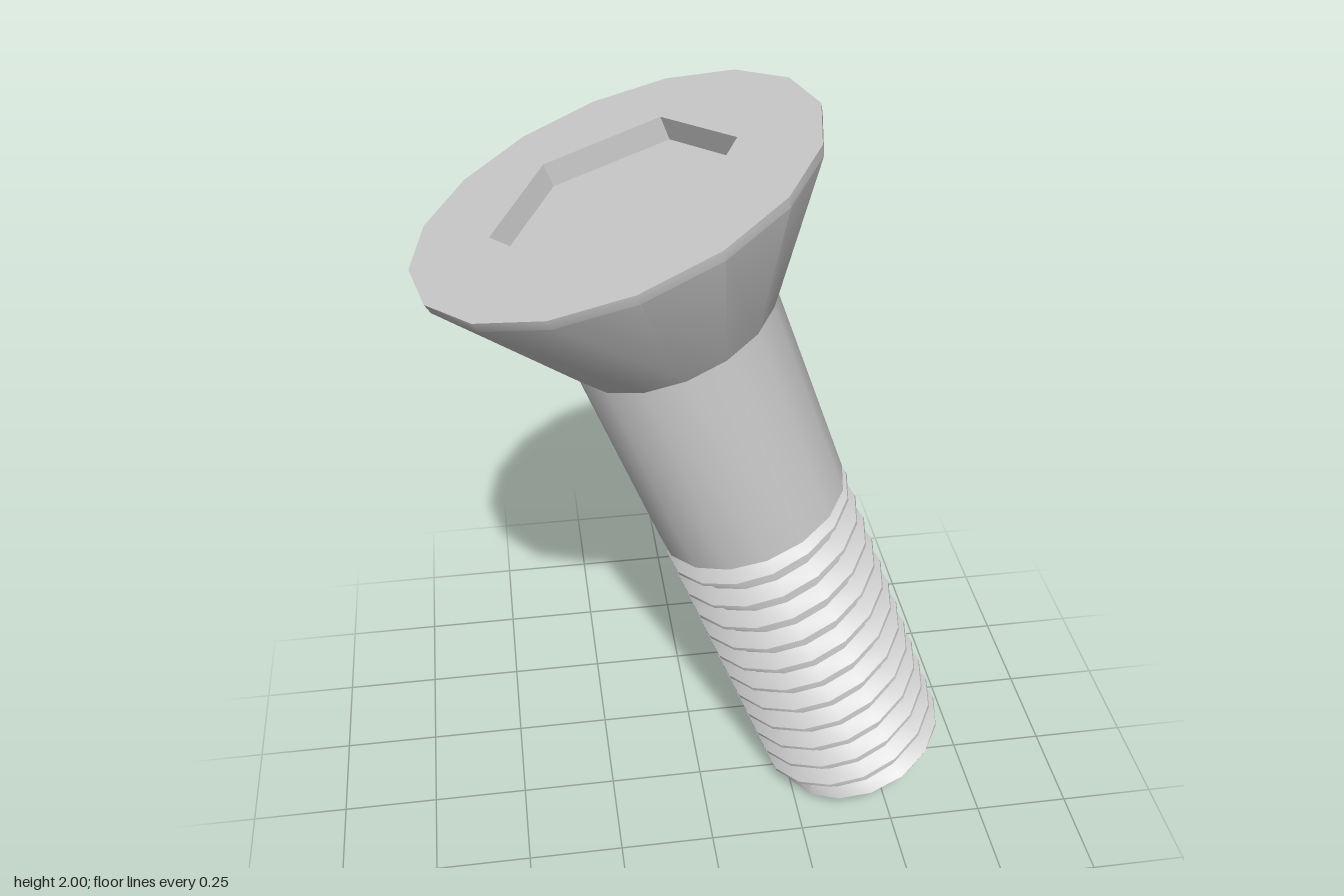
import * as THREE from 'three';
import { toCreasedNormals } from 'three/addons/utils/BufferGeometryUtils.js';

const SIDES = 16;
const HEAD_R = 0.486, HEX_R = 0.292, HEX_DEPTH = 0.06;
const NECK = 0.372, THREAD_TOP = 0.935, END = 1.878; // depths below the head's top face
const CREST = 0.25, ROOT = 0.216, TIP_R = 0.198, PITCH = 0.0785;

// Corners of a regular polygon, the first one on +x
function polygon(sides, radius) {
  return Array.from({ length: sides }, (_, i) => {
    const a = (i / sides) * Math.PI * 2;
    return new THREE.Vector2(radius * Math.cos(a), radius * Math.sin(a));
  });
}

// Surface of revolution from [radius, y] pairs, listed bottom to top
function lathe(profile) {
  const points = profile.map(([r, y]) => new THREE.Vector2(r, y));
  return toCreasedNormals(new THREE.LatheGeometry(points, SIDES), 0.5);
}

// Right-hand helical thread: the tooth profile sinks by one pitch per turn
function threadGeometry() {
  const tooth = [[0, ROOT], [0.2, ROOT], [0.54, CREST], [0.66, CREST]];
  const turns = Math.ceil((END - THREAD_TOP) / PITCH) + 1;
  const positions = [], index = [];
  let rows = 0;
  for (let k = 0; k <= turns; k++) {
    for (const [f, radius] of tooth) {
      for (let j = 0; j <= SIDES; j++) {
        const turn = j / SIDES, a = turn * Math.PI * 2;
        const raw = THREAD_TOP + (k + f - turn) * PITCH;
        const depth = THREE.MathUtils.clamp(raw, THREAD_TOP, END);
        // the chamfer at the tip trims the last teeth
        const r = raw < THREAD_TOP ? ROOT : Math.min(radius, TIP_R + (END - depth) * 1.2);
        positions.push(r * Math.sin(a), -depth, r * Math.cos(a));
      }
      rows++;
    }
  }
  const w = SIDES + 1;
  for (let i = 0; i < rows - 1; i++) {
    for (let j = 0; j < SIDES; j++) {
      const a = i * w + j, b = a + w;
      index.push(a, b, b + 1, a, b + 1, a + 1);
    }
  }
  const geometry = new THREE.BufferGeometry();
  geometry.setAttribute('position', new THREE.Float32BufferAttribute(positions, 3));
  geometry.setIndex(index);
  return toCreasedNormals(geometry, 0.5);
}

export function createModel() {
  const model = new THREE.Group();
  model.name = 'countersunkScrew';
  const grey = new THREE.MeshStandardMaterial({ color: 0xcccccc });
  const greyDouble = new THREE.MeshStandardMaterial({ color: 0xcccccc, side: THREE.DoubleSide });

  // The screw is built along -y from its top face, then leaned over
  const screw = new THREE.Group();
  screw.name = 'screw';
  screw.position.set(-0.19, 1.835, 0);
  screw.rotation.z = THREE.MathUtils.degToRad(20);
  model.add(screw);

  const add = (name, geometry, material = grey) => {
    const mesh = new THREE.Mesh(geometry, material);
    mesh.name = name;
    screw.add(mesh);
    return mesh;
  };

  // Conical head with a thin rim
  add('head', lathe([[0.255, -NECK], [HEAD_R - 0.005, -0.025], [HEAD_R, 0]]));

  // Flat top face with the hexagonal opening
  const face = new THREE.Shape(polygon(SIDES, HEAD_R));
  face.holes.push(new THREE.Path(polygon(6, HEX_R).reverse()));
  add('headFace', new THREE.ShapeGeometry(face).rotateX(-Math.PI / 2));

  // Hexagonal drive socket
  const walls = new THREE.CylinderGeometry(HEX_R, HEX_R, HEX_DEPTH, 6, 1, true);
  walls.rotateY(Math.PI / 2).translate(0, -HEX_DEPTH / 2, 0);
  add('socketWalls', toCreasedNormals(walls, 0.5), greyDouble);
  const floor = new THREE.CircleGeometry(HEX_R, 6).rotateX(-Math.PI / 2);
  add('socketFloor', floor.translate(0, -HEX_DEPTH, 0));

  // Plain shank, closed underneath where it steps in to the thread
  add('shank', lathe([[ROOT - 0.02, -THREAD_TOP], [0.247, -THREAD_TOP], [0.255, -NECK]]));

  // Threaded shaft and its flat tip
  add('thread', threadGeometry());
  const tip = new THREE.CircleGeometry(TIP_R, SIDES).rotateX(Math.PI / 2);
  add('tip', tip.translate(0, -END, 0));

  return model;
}
